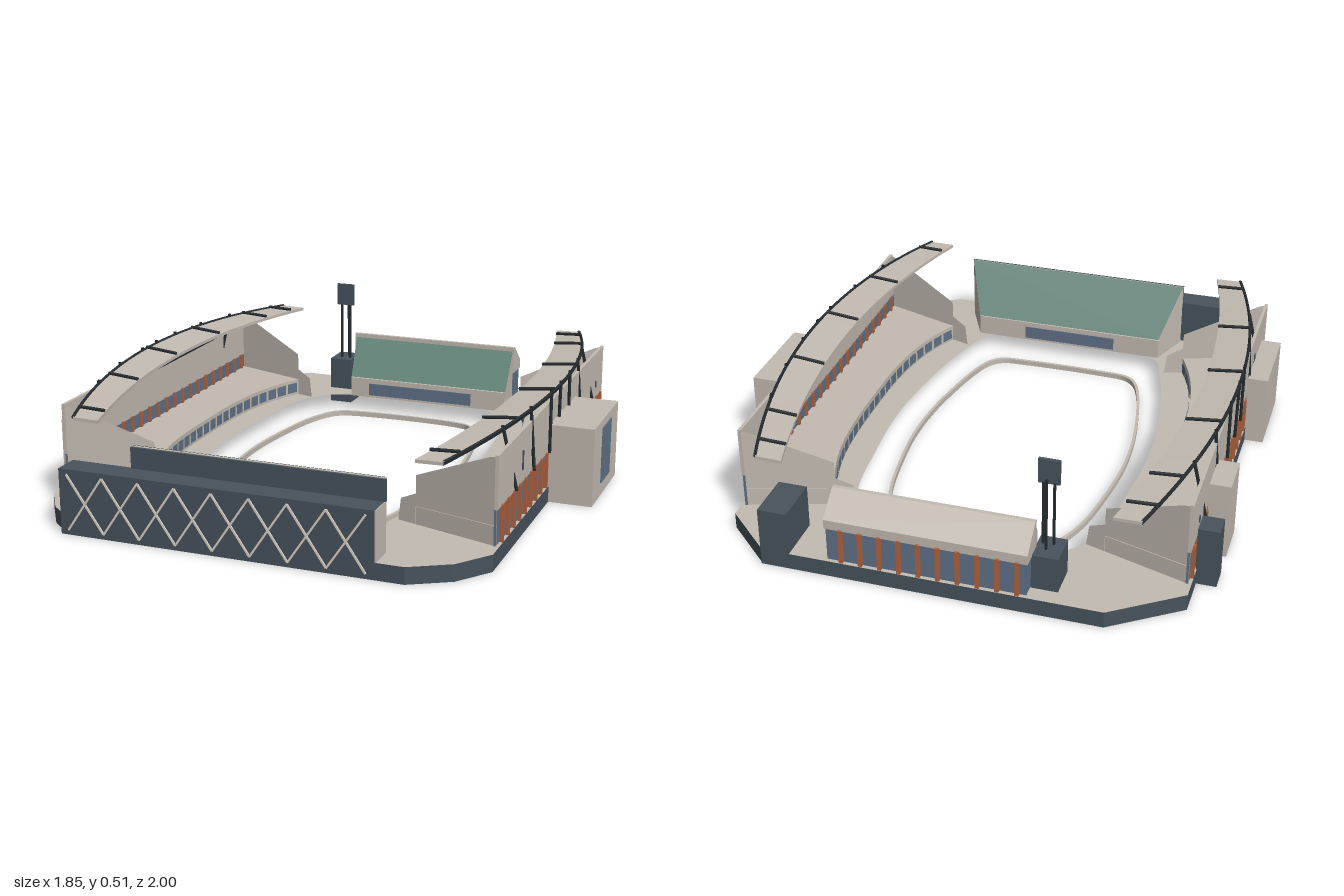
import * as THREE from 'three';
import { ConvexGeometry } from 'three/addons/geometries/ConvexGeometry.js';

const V = (x, y, z) => new THREE.Vector3(x, y, z);
const mat = (name, color, side = THREE.DoubleSide) => {
  const m = new THREE.MeshStandardMaterial({ color, side });
  m.name = name;
  return m;
};

export function createModel() {
  const tan = mat('concrete', 0xc3bbb1);
  const slate = mat('slate cladding', 0x47535d);
  const glass = mat('blue glass', 0x5f7288);
  const green = mat('green seats', 0x5c7d72);
  const orange = mat('orange pillars', 0xb0623f);
  const dark = mat('dark steel', 0x262c31);
  const pale = mat('pale lattice', 0xd9d1c6);
  const root = new THREE.Group();
  root.name = 'stadium';

  const add = (parent, name, geo, m) => {
    const mesh = new THREE.Mesh(geo, m);
    mesh.name = name;
    parent.add(mesh);
    return mesh;
  };
  // box from minimum and maximum corners
  const box = (parent, name, m, x0, x1, y0, y1, z0, z1) => {
    const b = add(parent, name, new THREE.BoxGeometry(x1 - x0, y1 - y0, z1 - z0), m);
    b.position.set((x0 + x1) / 2, (y0 + y1) / 2, (z0 + z1) / 2);
    return b;
  };
  // surface through rows of points
  const loft = (rows, flat = false) => {
    const n = rows[0].length, idx = [];
    for (let i = 0; i < rows.length - 1; i++) for (let j = 0; j < n - 1; j++) {
      const a = i * n + j, b = a + n;
      idx.push(a, b, a + 1, b, b + 1, a + 1);
    }
    let g = new THREE.BufferGeometry().setFromPoints(rows.flat());
    g.setIndex(idx);
    if (flat) g = g.toNonIndexed();
    g.computeVertexNormals();
    return g;
  };
  // smooth closed plan curve from [x, z] points, as shape points (x, -z)
  const ring = (pts) => new THREE.CatmullRomCurve3(pts.map(([x, z]) => V(x, -z, 0)), true)
    .getPoints(96).map((p) => new THREE.Vector2(p.x, p.y));

  // plinth with open underside
  const outline = [[-0.62, -1], [0.58, -1], [0.76, -0.83], [0.76, 0.79], [0.67, 0.91], [0.53, 0.99],
    [-0.68, 0.99], [-0.78, 0.91], [-0.86, 0.79], [-0.86, -0.83]];
  const loop = [...outline, outline[0]];
  add(root, 'plinthWall', loft([0.06, 0].map((y) => loop.map(([x, z]) => V(x, y, z))), true), slate);
  const deck = new THREE.Shape(outline.map(([x, z]) => new THREE.Vector2(x, -z)));
  const half = [[0.25, -0.735], [0.34, -0.68], [0.4, -0.57], [0.435, -0.3], [0.45, -0.02],
    [0.42, 0.3], [0.36, 0.57], [0.3, 0.705]];
  const flip = (pts) => pts.map(([x, z]) => [-0.1 - x, z]).reverse();
  deck.holes.push(new THREE.Path(ring([...half, ...flip(half)])));
  add(root, 'bowlDeck', new THREE.ShapeGeometry(deck).rotateX(-Math.PI / 2).translate(0, 0.06, 0), tan);

  // low rail round the field
  const rail = [[0.18, -0.65], [0.25, -0.62], [0.31, -0.5], [0.355, -0.25], [0.37, -0.02],
    [0.345, 0.25], [0.27, 0.55], [0.22, 0.6], [0.12, 0.612]];
  const outer = ring([...rail, ...flip(rail)]);
  const railShape = new THREE.Shape(outer);
  railShape.holes.push(new THREE.Path(outer.map((p) =>
    new THREE.Vector2(-0.05 + (p.x + 0.05) * 0.974, 0.02 + (p.y - 0.02) * 0.982))));
  add(root, 'fieldRail', new THREE.ExtrudeGeometry(railShape, { depth: 0.02, bevelEnabled: false })
    .rotateX(-Math.PI / 2), tan);

  // side stands, mirrored about x = -0.05
  const zc = -0.025, N = 32;
  const along = (f) => Array.from({ length: N + 1 }, (_, i) => f(-1 + 2 * i / N));
  const roofOut = (t) => V(0.815 - 0.15 * t * t, 0.412 - 0.032 * t * t, zc + 0.895 * t);
  const roofIn = (t) => V(0.685 - 0.115 * t * t, 0.398 - 0.02 * t * t, zc + 0.895 * t);
  const fascia = (t, y) => V(0.6 - 0.11 * Math.abs(t) ** 3, y, zc + 0.65 * t);
  for (const s of [1, -1]) {
    const stand = new THREE.Group();
    stand.name = s > 0 ? 'leftStand' : 'rightStand';
    stand.position.x = -0.05;
    stand.scale.x = s;
    root.add(stand);

    // outer wall: glazed base, solid top, orange pillars
    box(stand, 'glassWall', glass, 0.79, 0.798, 0.06, 0.185, -0.77, 0.72);
    box(stand, 'upperWall', tan, 0.79, 0.802, 0.185, 0.37, -0.77, 0.72);
    for (let i = 0; i < 21; i++) {
      const z = -0.73 + i * 0.07;
      box(stand, 'wallPillar', orange, 0.782, 0.81, 0.06, 0.19, z - 0.007, z + 0.007);
    }
    for (const [z, y0, y1] of [[0.43, 0.23, 0.3], [-0.65, 0.23, 0.255]])
      box(stand, 'slotWindow', slate, 0.8, 0.806, y0, y1, z - 0.004, z + 0.004);

    // seating tier with a curved windowed front
    add(stand, 'tierFront', loft([along((t) => fascia(t, 0.06)), along((t) => fascia(t, 0.125))]), tan);
    add(stand, 'tierDeck', loft([along((t) => fascia(t, 0.125)),
      along((t) => V(0.79, 0.13, zc + 0.745 * t))]), tan);
    for (let i = 0; i < 22; i++) {
      const t = -0.94 + i * 1.88 / 21, d = 0.036;
      const pane = loft([0.072, 0.113].map((y) => [t - d, t + d].map((u) => fascia(u, y).add(V(-0.005, 0, 0)))));
      add(stand, 'tierWindow', pane, glass);
    }

    // slanted end walls
    for (const e of [1, -1]) {
      const g = new THREE.ShapeGeometry(new THREE.Shape([[0.42, 0.06], [0.8, 0.06], [0.8, 0.365], [0.77, 0.36],
        [0.49, 0.235], [0.49, 0.17], [0.43, 0.14]].map((p) => new THREE.Vector2(...p))));
      const p = g.attributes.position;
      for (let i = 0; i < p.count; i++) p.setZ(i, zc + e * (0.625 + (p.getX(i) - 0.42) * 0.315));
      g.computeVertexNormals();
      add(stand, 'endWall', g, tan);
    }

    // curved roof: pale top, dark underside, edge beam and ribs
    const drop = V(0, -0.012, 0);
    const edges = [along(roofOut), along(roofIn)];
    const under = edges.map((r) => r.map((p) => p.clone().add(drop)));
    add(stand, 'roofTop', loft(edges), tan);
    add(stand, 'roofUnderside', loft(under), dark);
    edges.forEach((r, i) => add(stand, 'roofEdge', loft([r, under[i]]), i ? tan : dark));
    for (const k of [0, N]) add(stand, 'roofEnd', loft([[edges[0][k], edges[1][k]], [under[0][k], under[1][k]]]), tan);
    add(stand, 'roofBeam', new THREE.TubeGeometry(new THREE.CatmullRomCurve3(edges[0]), 48, 0.006, 6), dark);
    box(stand, 'roofTruss', dark, 0.7, 0.76, 0.37, 0.38, -0.36, 0.32);
    for (const z of [-0.83, -0.655, -0.295, 0.065, 0.425, 0.785]) {
      const t = (z - zc) / 0.895, up = V(0, 0.006, 0);
      add(stand, 'roofRib', new THREE.TubeGeometry(
        new THREE.LineCurve3(roofOut(t).add(up), roofIn(t).add(up)), 1, 0.006, 6), dark);
    }
    for (const z of [0.53, 0.31, 0.1, -0.02, -0.17, -0.365, -0.57]) {
      const top = roofOut((z - zc) / 0.895);
      add(stand, 'roofColumn', new THREE.TubeGeometry(
        new THREE.LineCurve3(V(0.812, 0.19, z), V(top.x, top.y + 0.012, z)), 1, 0.006, 6), dark);
    }
  }

  // end stands: seat block [x0, x1] at back and front edge, green slope, glass strip
  const endStand = (name, zb, zf, back, front, yTop, strip) => {
    const g = new THREE.Group();
    g.name = name;
    root.add(g);
    const hull = [];
    for (const i of [0, 1]) hull.push(V(back[i], 0.06, zb), V(back[i], yTop, zb),
      V(front[i], 0.06, zf), V(front[i], 0.14, zf));
    add(g, 'seatBlock', new ConvexGeometry(hull), tan);
    const seat = loft([[V(back[0], yTop + 0.003, zb), V(back[1], yTop + 0.003, zb)],
      [V(front[0], 0.143, zf), V(front[1], 0.143, zf)]]);
    if (zb < zf) seat.index.array.reverse();
    seat.computeVertexNormals();
    add(g, 'seatSlope', seat, green);
    const d = Math.sign(zf - zb) * 0.004;
    box(g, 'frontWindow', glass, strip[0], strip[1], 0.07, 0.12, zf + Math.min(0, d), zf + Math.max(0, d));
    return g;
  };

  const front = endStand('frontStand', 0.885, 0.715, [-0.48, 0.43], [-0.42, 0.35], 0.31, [-0.23, 0.15]);
  box(front, 'frontBlock', slate, -0.71, 0.43, 0, 0.235, 0.895, 0.99);
  box(front, 'parapet', slate, -0.48, 0.435, 0.235, 0.31, 0.893, 0.903);
  box(front, 'parapetCap', tan, -0.48, 0.43, 0.235, 0.311, 0.883, 0.893);
  box(front, 'blockEnd', tan, 0.43, 0.434, 0.06, 0.235, 0.895, 0.99);
  const step = 0.135, tilt = Math.atan2(step, 0.2);
  for (let i = 0; i < 8; i++) for (const s of [1, -1]) {
    const bar = add(front, 'latticeBar', new THREE.BoxGeometry(0.007, Math.hypot(step, 0.2), 0.006), pale);
    bar.position.set(-0.68 + step * (i + 0.5), 0.118, 0.992);
    bar.rotation.z = s * tilt;
  }

  const rear = endStand('backStand', -0.89, -0.735, [-0.355, 0.345], [-0.32, 0.36], 0.28, [-0.24, 0.21]);
  const backTop = [];
  for (const x of [-0.36, 0.35]) backTop.push(V(x, 0.295, -0.885), V(x, 0.295, -0.9), V(x, 0.185, -0.885),
    V(x, 0.185, -0.99), V(x, 0.22, -0.99));
  add(rear, 'backUpperWall', new ConvexGeometry(backTop), tan);
  box(rear, 'backGlass', glass, -0.355, 0.345, 0.06, 0.185, -0.985, -0.89);
  for (let i = 0; i < 10; i++) {
    const x = -0.325 + i * 0.0685;
    box(rear, 'backPillar', orange, x - 0.007, x + 0.007, 0.06, 0.19, -0.998, -0.98);
  }

  // blocks outside the bowl
  box(root, 'entranceBlock', tan, 0.755, 0.92, 0, 0.29, -0.29, 0.09);
  box(root, 'entranceWindow', glass, 0.92, 0.924, 0.05, 0.26, -0.17, -0.035);
  box(root, 'stairBlock', tan, -0.93, -0.855, 0, 0.285, -0.5, -0.34);
  box(root, 'stairBlock', tan, -0.93, -0.855, 0, 0.27, 0.28, 0.6);
  box(root, 'serviceBlock', slate, -0.93, -0.855, 0, 0.22, -0.68, -0.595);
  box(root, 'cornerBlock', slate, 0.48, 0.585, 0, 0.22, -1, -0.82);

  // light tower
  const tower = new THREE.Group();
  tower.name = 'lightTower';
  root.add(tower);
  box(tower, 'towerBase', slate, -0.45, -0.357, 0, 0.19, -0.94, -0.82);
  for (const [x, z, top] of [[-0.412, -0.86, 0.43], [-0.375, -0.86, 0.43], [-0.394, -0.893, 0.46]])
    box(tower, 'towerPost', dark, x - 0.004, x + 0.004, 0.19, top, z - 0.004, z + 0.004);
  box(tower, 'towerPanel', slate, -0.43, -0.356, 0.425, 0.515, -0.862, -0.85);

  return root;
}
